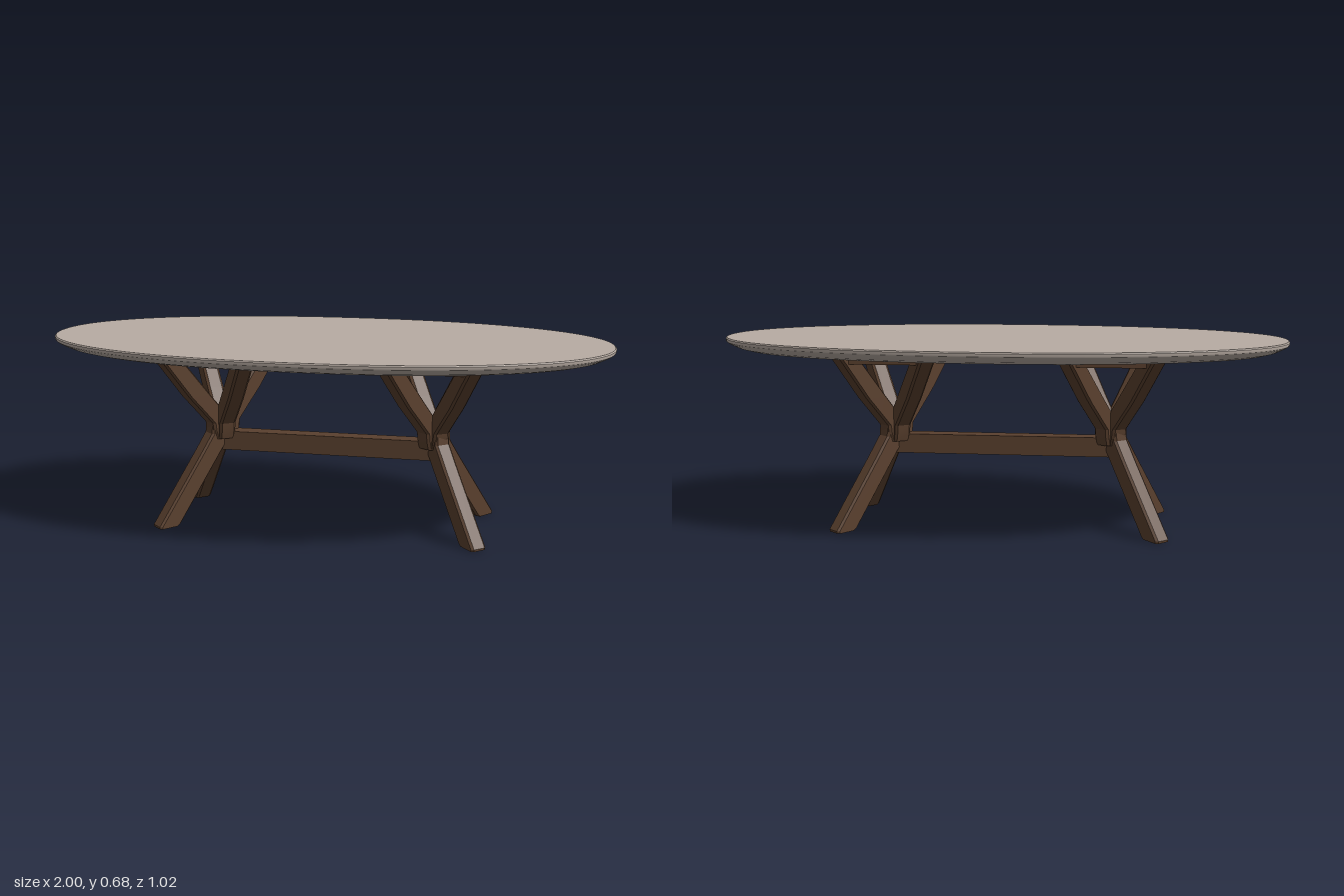
import * as THREE from 'three';
import { toCreasedNormals } from 'three/addons/utils/BufferGeometryUtils.js';

// Skin a stack of equal-length loops (bottom to top) and cap both ends
function loft(loops, crease) {
  const n = loops[0].length, pos = [], idx = [];
  loops.forEach(l => l.forEach(p => pos.push(...p)));
  for (let k = 0; k < loops.length - 1; k++)
    for (let i = 0; i < n; i++) {
      const a = k * n + i, b = k * n + (i + 1) % n;
      idx.push(a, a + n, b, b, a + n, b + n);
    }
  [loops[0], loops[loops.length - 1]].forEach((l, end) => {
    const c = pos.length / 3, base = end ? (loops.length - 1) * n : 0;
    pos.push(...[0, 1, 2].map(j => l.reduce((s, p) => s + p[j], 0) / n));
    for (let i = 0; i < n; i++) {
      const a = base + i, b = base + (i + 1) % n;
      end ? idx.push(c, b, a) : idx.push(c, a, b);
    }
  });
  const g = new THREE.BufferGeometry();
  g.setAttribute('position', new THREE.Float32BufferAttribute(pos, 3));
  g.setIndex(idx);
  return toCreasedNormals(g, crease);
}

// Chamfered bar leaning out along (ux, uz); slices are [y, inner radius, outer radius]
function limb(ux, uz, slices) {
  const w = 0.03, c = 0.008;
  return loft(slices.map(([y, ri, ro]) =>
    [[ro, -w + c], [ro, w - c], [ro - c, w], [ri + c, w],
     [ri, w - c], [ri, -w + c], [ri + c, -w], [ro - c, -w]]
      .map(([r, t]) => [ux * r - uz * t, y, uz * r + ux * t])), 0.3);
}

const LEG = [[0, 0.215, 0.29], [0.008, 0.204, 0.291], [0.25, 0.025, 0.112],
  [0.32, -0.027, 0.062], [0.36, -0.03, 0.058]];
const ARM = [[0.3, -0.03, 0.05], [0.33, -0.03, 0.058], [0.36, -0.02, 0.062],
  [0.41, 0.02, 0.107], [0.47, 0.072, 0.162], [0.636, 0.212, 0.291]];

export function createModel() {
  const model = new THREE.Group();
  const stone = new THREE.MeshStandardMaterial({ color: 0xb8aca3 });
  stone.name = 'warm grey top';
  const wood = new THREE.MeshStandardMaterial({ color: 0x5a402e });
  wood.name = 'dark brown wood';

  const add = (parent, name, geo, mat, x = 0, y = 0, z = 0) => {
    const m = new THREE.Mesh(geo, mat);
    m.name = name;
    m.position.set(x, y, z);
    parent.add(m);
  };

  // Oval top with an undercut rim; each ring is [inset, y]
  const rings = [[0.072, 0.635], [0.04, 0.644], [0.01, 0.659], [0.002, 0.665],
    [0, 0.67], [0, 0.676], [0.004, 0.68]];
  const bulge = v => Math.sign(v) * Math.abs(v) ** (2 / 2.15);
  const oval = ([d, y]) => Array.from({ length: 128 }, (_, i) => {
    const a = i / 128 * Math.PI * 2;
    return [(1 - d) * bulge(Math.cos(a)), y, (0.51 - d) * bulge(Math.sin(a))];
  });
  add(model, 'tableTop', loft(rings.map(oval), 0.5), stone);

  // Two trestles: two splayed legs below, four arms and a square frame above
  for (const s of [1, -1]) {
    const trestle = new THREE.Group();
    trestle.name = s > 0 ? 'leftTrestle' : 'rightTrestle';
    trestle.position.x = s * 0.39;
    model.add(trestle);
    for (const sz of [1, -1]) {
      add(trestle, 'leg', limb(s * 0.65, sz * 0.76, LEG), wood);
      for (const sx of [1, -1])
        add(trestle, 'arm', limb(sx * 0.58, sz * 0.815, ARM), wood);
      add(trestle, 'frameRailLong', new THREE.BoxGeometry(0.045, 0.036, 0.38), wood, sz * 0.14, 0.618, 0);
      add(trestle, 'frameRailShort', new THREE.BoxGeometry(0.27, 0.036, 0.045), wood, 0, 0.618, sz * 0.195);
    }
    add(trestle, 'framePanel', new THREE.BoxGeometry(0.25, 0.012, 0.36), wood, 0, 0.629, 0);
  }

  // Stretcher joining the two hubs
  add(model, 'stretcher', new THREE.BoxGeometry(0.79, 0.07, 0.06), wood, 0, 0.29, 0);
  return model;
}
